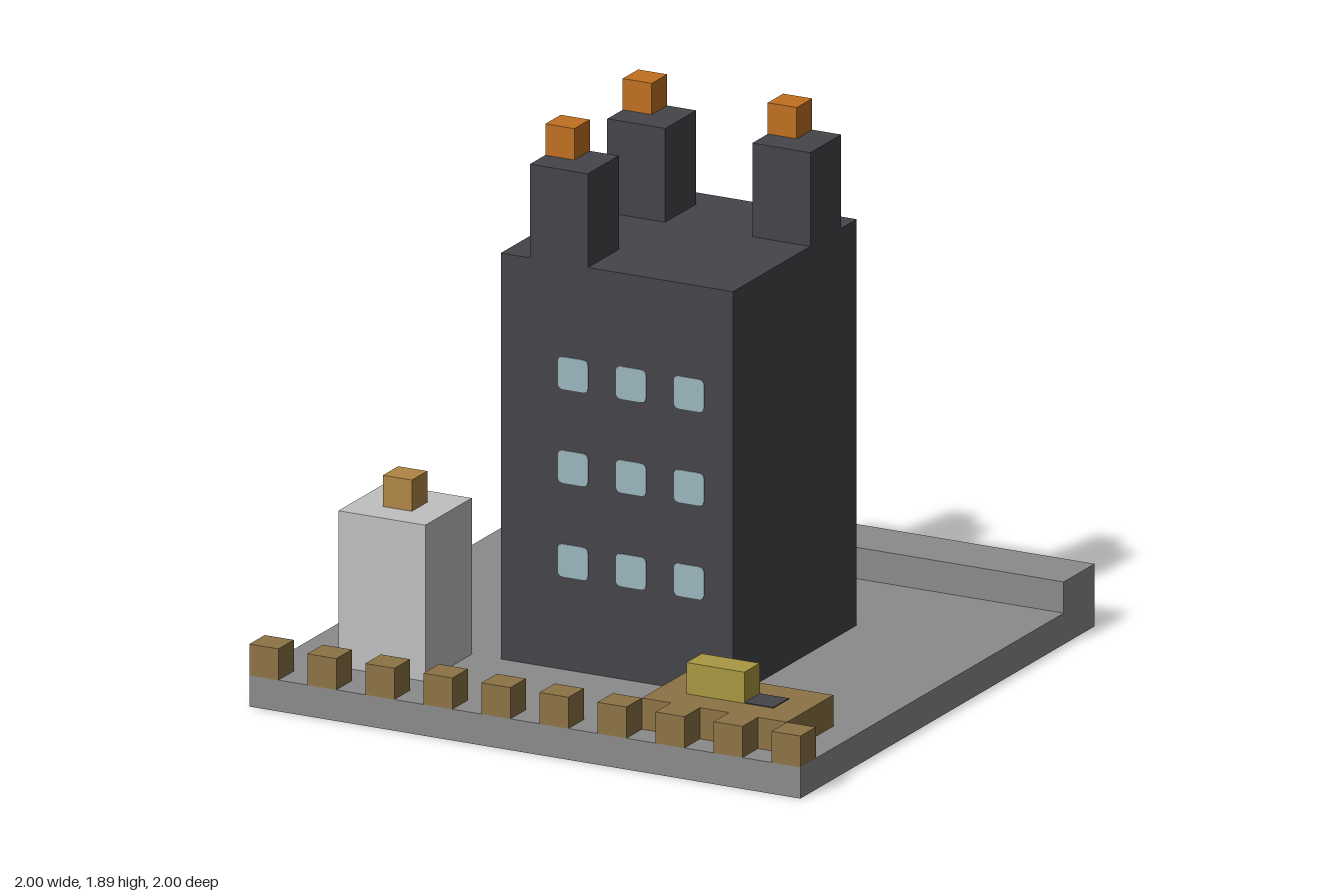
import * as THREE from 'three';

// The whole build sits on a grid of 19 x 19 cells spanning 2 units.
const CELLS = 19;
const U = 2 / CELLS;

const mat = (name, color) => {
  const m = new THREE.MeshStandardMaterial({ color });
  m.name = name;
  return m;
};

export function createModel() {
  const model = new THREE.Group();
  model.name = 'castle';

  const stone = mat('grey stone', 0x8b8b8b);
  const dark = mat('dark stone', 0x454449);
  const pale = mat('pale stone', 0xc0c0c0);
  const wood = mat('brown wood', 0x8c7345);
  const tan = mat('tan wood', 0xb08545);
  const orange = mat('orange', 0xc07020);
  const yellow = mat('yellow', 0xa89942);
  const glass = mat('window glass', 0x9bb6be);

  // Box from its lowest corner and its size, both in cells.
  const box = (name, material, [x, y, z], [w, h, d], parent = model) => {
    const mesh = new THREE.Mesh(new THREE.BoxGeometry(w * U, h * U, d * U), material);
    mesh.position.set((x + w / 2) * U - 1, (y + h / 2) * U, (z + d / 2) * U - 1);
    mesh.name = name;
    parent.add(mesh);
    return mesh;
  };

  // Ground slab and the low wall along the back
  box('groundSlab', stone, [0, 0, 0], [19, 1, 19]);
  box('backWall', stone, [0, 1, 0], [19, 1, 2]);

  // Main tower: solid above, with a door recess in the back of its foot
  const keep = new THREE.Group();
  keep.name = 'mainTower';
  model.add(keep);
  box('towerBody', dark, [6, 3, 6], [8, 11, 8], keep);
  box('towerFoot', dark, [6, 1, 7], [8, 2, 7], keep);
  box('doorJambRight', dark, [6, 1, 6], [3, 2, 1], keep);
  box('doorJambLeft', dark, [11, 1, 6], [3, 2, 1], keep);

  // Roof turrets, each with a cap on its back right corner
  for (const [x, z] of [[7, 7], [12, 7], [7, 12]]) {
    box('turret', dark, [x, 14, z], [2, 3, 2], keep);
    box('turretCap', orange, [x, 17, z], [1, 1, 1], keep);
  }

  // Rounded window panes on the front and back faces
  const s = U * 0.52, r = 0.02;
  const pane = new THREE.Shape();
  pane.moveTo(-s + r, -s);
  pane.lineTo(s - r, -s);
  pane.quadraticCurveTo(s, -s, s, -s + r);
  pane.lineTo(s, s - r);
  pane.quadraticCurveTo(s, s, s - r, s);
  pane.lineTo(-s + r, s);
  pane.quadraticCurveTo(-s, s, -s, s - r);
  pane.lineTo(-s, -s + r);
  pane.quadraticCurveTo(-s, -s, -s + r, -s);
  const paneGeo = new THREE.ExtrudeGeometry(pane, { depth: 0.003, bevelEnabled: false, curveSegments: 4 });
  for (const back of [false, true]) {
    for (const x of [8.5, 10.5, 12.5]) {
      for (const y of [4.5, 7.5, 10.5]) {
        const win = new THREE.Mesh(paneGeo, glass);
        win.name = back ? 'backWindow' : 'frontWindow';
        win.position.set(x * U - 1, y * U, (back ? 6 : 14) * U - 1);
        if (back) win.rotation.y = Math.PI;
        keep.add(win);
      }
    }
  }

  // Two pale side towers with small caps
  for (const z of [3, 14]) {
    box('sideTower', pale, [2, 1, z], [3, 5, 3]);
    box('sideTowerCap', tan, [3, 6, z + 1], [1, 1, 1]);
  }

  // Row of blocks along the front edge
  for (let x = 0; x < CELLS; x += 2) box('frontBlock', wood, [x, 1, 18], [1, 1, 1]);

  // Platform with a yellow block and a dark patch beside it
  box('platform', wood, [13, 1, 15], [5, 1, 3]);
  box('yellowBlock', yellow, [14, 2, 16], [2, 1, 1]);
  box('darkPatch', dark, [16, 2, 16], [1, 0.03, 1]);

  return model;
}
